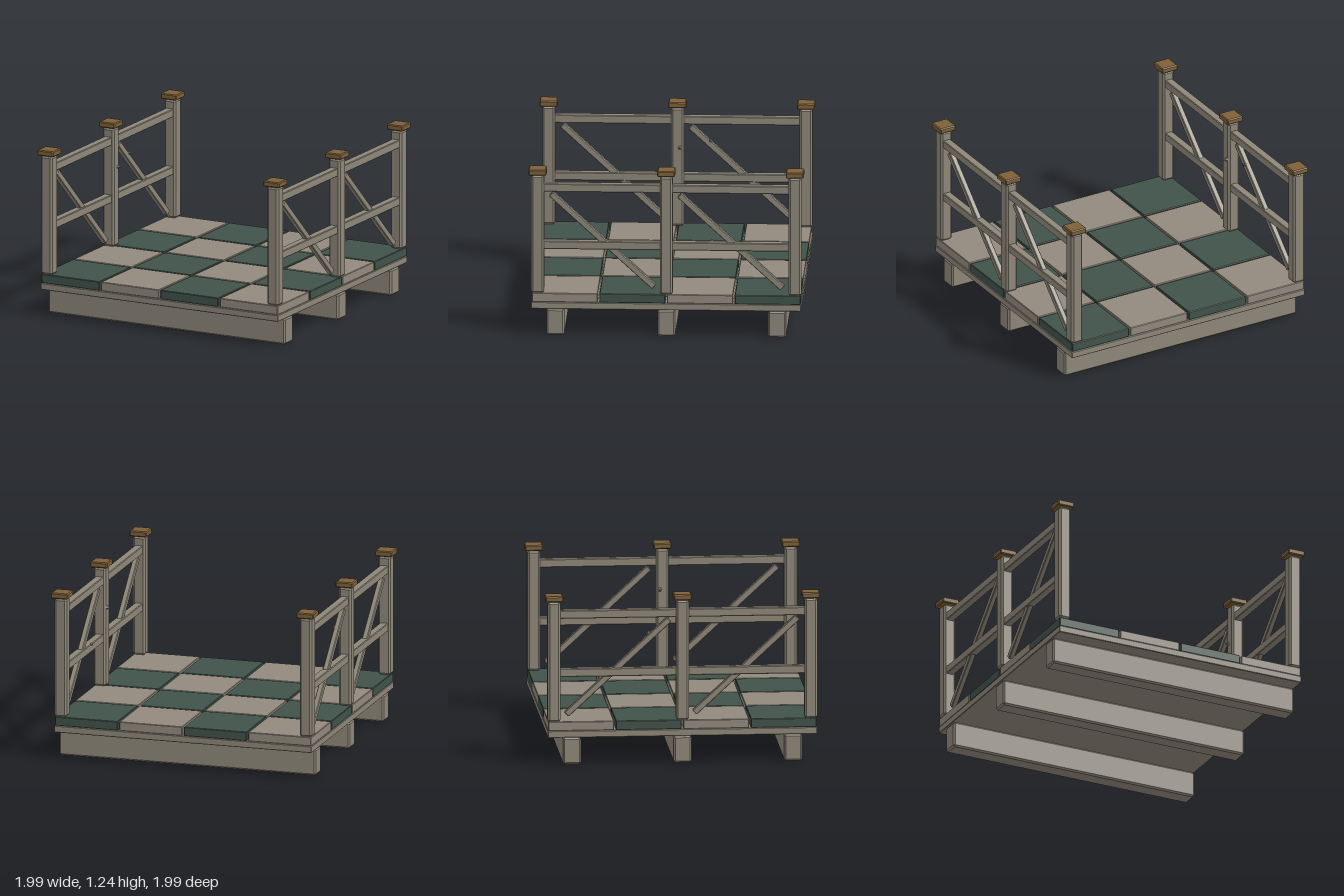
import * as THREE from 'three';
import { ConvexGeometry } from 'three/addons/geometries/ConvexGeometry.js';

const material = (name, color) => {
  const m = new THREE.MeshStandardMaterial({ color });
  m.name = name;
  return m;
};

// Box with flat chamfers of size c on all edges
function chamferBox(w, h, d, c) {
  const points = [];
  for (const x of [-0.5, 0.5]) for (const y of [-0.5, 0.5]) for (const z of [-0.5, 0.5]) {
    const p = new THREE.Vector3(x * w, y * h, z * d);
    const inset = new THREE.Vector3(Math.sign(x), Math.sign(y), Math.sign(z)).multiplyScalar(c);
    for (const keep of ['x', 'y', 'z']) {
      const q = p.clone().sub(inset);
      q[keep] = p[keep];
      points.push(q);
    }
  }
  return new ConvexGeometry(points);
}

export function createModel() {
  const group = new THREE.Group();
  group.name = 'railedPlatform';
  const wood = material('weatheredWood', 0x8e8779);
  const stone = material('paleTile', 0x92897d);
  const green = material('greenTile', 0x40524a);
  const brown = material('brownCap', 0x7e6038);

  const add = (name, geometry, mat, x, y, z) => {
    const mesh = new THREE.Mesh(geometry, mat);
    mesh.name = name;
    mesh.position.set(x, y, z);
    group.add(mesh);
    return mesh;
  };

  // Support beams and deck
  const beam = chamferBox(1.95, 0.195, 0.13, 0.012);
  for (const z of [-0.803, 0, 0.803]) add('supportBeam', beam, wood, 0, 0.0975, z);
  add('deck', chamferBox(1.955, 0.05, 1.955, 0.004), wood, 0, 0.222, 0);

  // Checkerboard floor
  const tile = chamferBox(0.477, 0.067, 0.477, 0.004);
  for (let i = 0; i < 4; i++) for (let j = 0; j < 4; j++) {
    const isGreen = (i + j) % 2 === 1;
    add(isGreen ? 'greenTile' : 'paleTile', tile, isGreen ? green : stone,
      (i - 1.5) * 0.49, 0.2805, (j - 1.5) * 0.49);
  }

  // Railings, with braces falling towards the back on both sides
  const post = chamferBox(0.093, 0.885, 0.093, 0.014);
  const cap = chamferBox(0.13, 0.042, 0.13, 0.007);
  const rail = chamferBox(0.06, 0.06, 1.86, 0.005);
  const dz = 0.725, dy = 0.67;
  const brace = chamferBox(0.04, 0.046, Math.hypot(dz, dy) + 0.03, 0.005);
  for (const side of [-1, 1]) {
    const x = side * 0.932;
    for (const z of [-0.932, 0, 0.932]) {
      add('post', post, wood, x, 0.7555, z);
      add('postCap', cap, brown, x, 1.222, z);
    }
    add('topRail', rail, wood, x, 1.102, 0);
    add('middleRail', rail, wood, x, 0.672, 0);
    for (const z of [0.462, -0.468]) {
      add('brace', brace, wood, x, 0.708, z).rotation.x = -Math.atan2(dy, dz);
    }
  }

  // Small pegs on the inner faces
  const peg = new THREE.ConeGeometry(0.02, 0.034, 6).toNonIndexed();
  peg.computeVertexNormals();
  for (const [x, y, z, s] of [[-0.875, 0.9, -0.02, 1], [0.875, 0.9, -0.02, 1],
    [-0.903, 0.95, -0.24, 0.7], [0.895, 0.7, -0.33, 0.7]]) {
    const mesh = add('peg', peg, wood, x, y, z);
    mesh.rotation.z = Math.sign(x) * Math.PI / 2;
    mesh.scale.setScalar(s);
  }
  return group;
}
